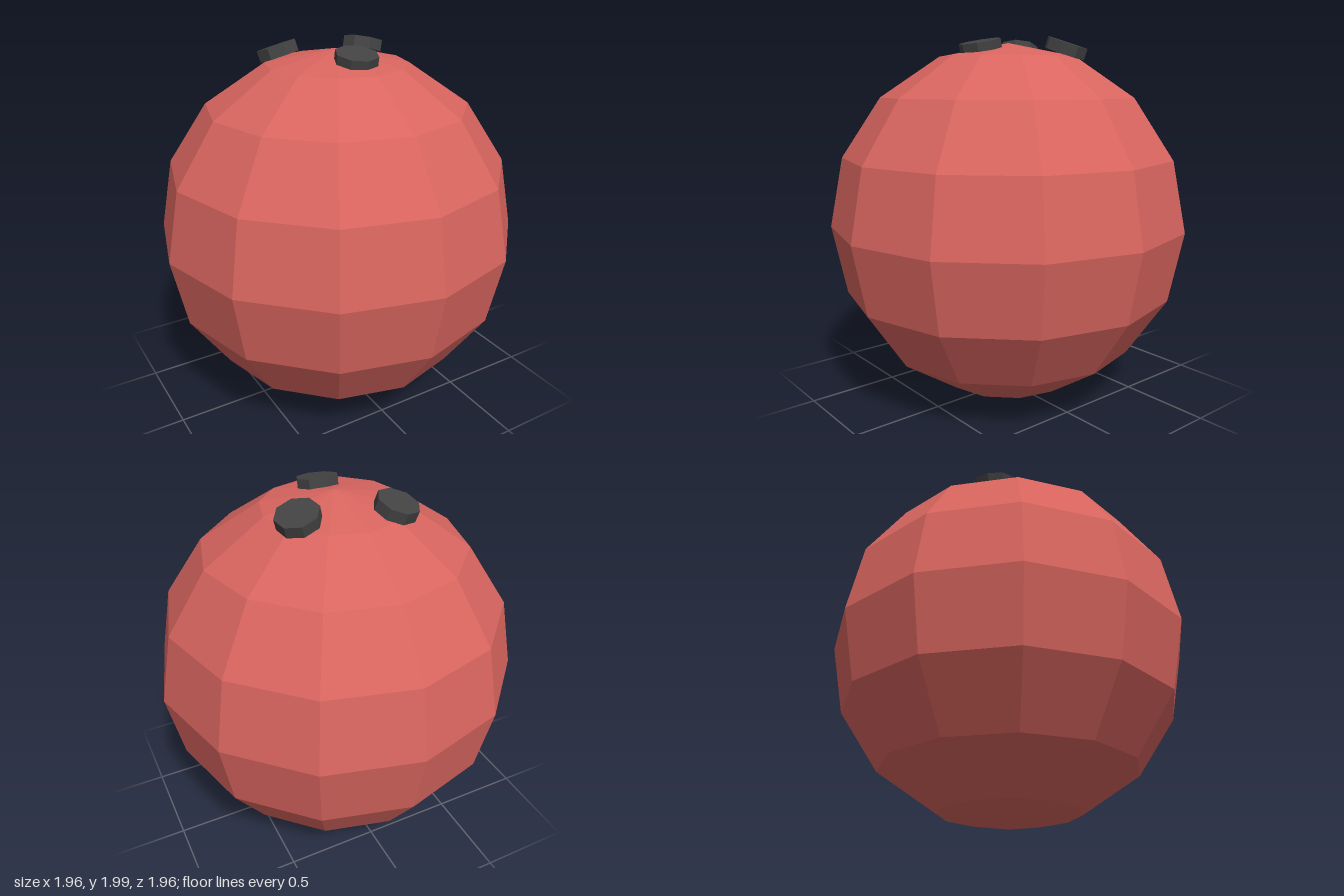
import * as THREE from 'three';

const RADIUS = 0.98;
const CENTER_Y = 0.983;

export function createModel() {
  const model = new THREE.Group();
  model.name = 'ball';

  const red = new THREE.MeshStandardMaterial({ color: 0xd9655f });
  red.name = 'coral red';
  red.flatShading = true;
  const dark = new THREE.MeshStandardMaterial({ color: 0x434343 });
  dark.name = 'charcoal';
  dark.flatShading = true;

  // Faceted ball
  const body = new THREE.Mesh(new THREE.SphereGeometry(RADIUS, 12, 8), red);
  body.name = 'body';
  body.position.y = CENTER_Y;
  model.add(body);

  // Three octagonal plugs, tilted outward along the ball's radius
  const plugGeometry = new THREE.CylinderGeometry(0.112, 0.112, 0.06, 8);
  const plugs = [
    { name: 'frontPlug', x: 0, z: 0.195, top: 1.003 },
    { name: 'backLeftPlug', x: 0.277, z: -0.178, top: 1.031 },
    { name: 'backRightPlug', x: -0.217, z: -0.258, top: 1.031 },
  ];
  for (const { name, x, z, top } of plugs) {
    const tilt = Math.asin(Math.hypot(x, z) / top);
    const plug = new THREE.Mesh(plugGeometry, dark);
    plug.name = name;
    plug.rotation.set(tilt, Math.atan2(x, z), 0, 'YXZ');
    const up = new THREE.Vector3(0, 1, 0).applyEuler(plug.rotation);
    plug.position.copy(up).multiplyScalar(top - 0.03);
    plug.position.y += CENTER_Y;
    model.add(plug);
  }

  return model;
}
